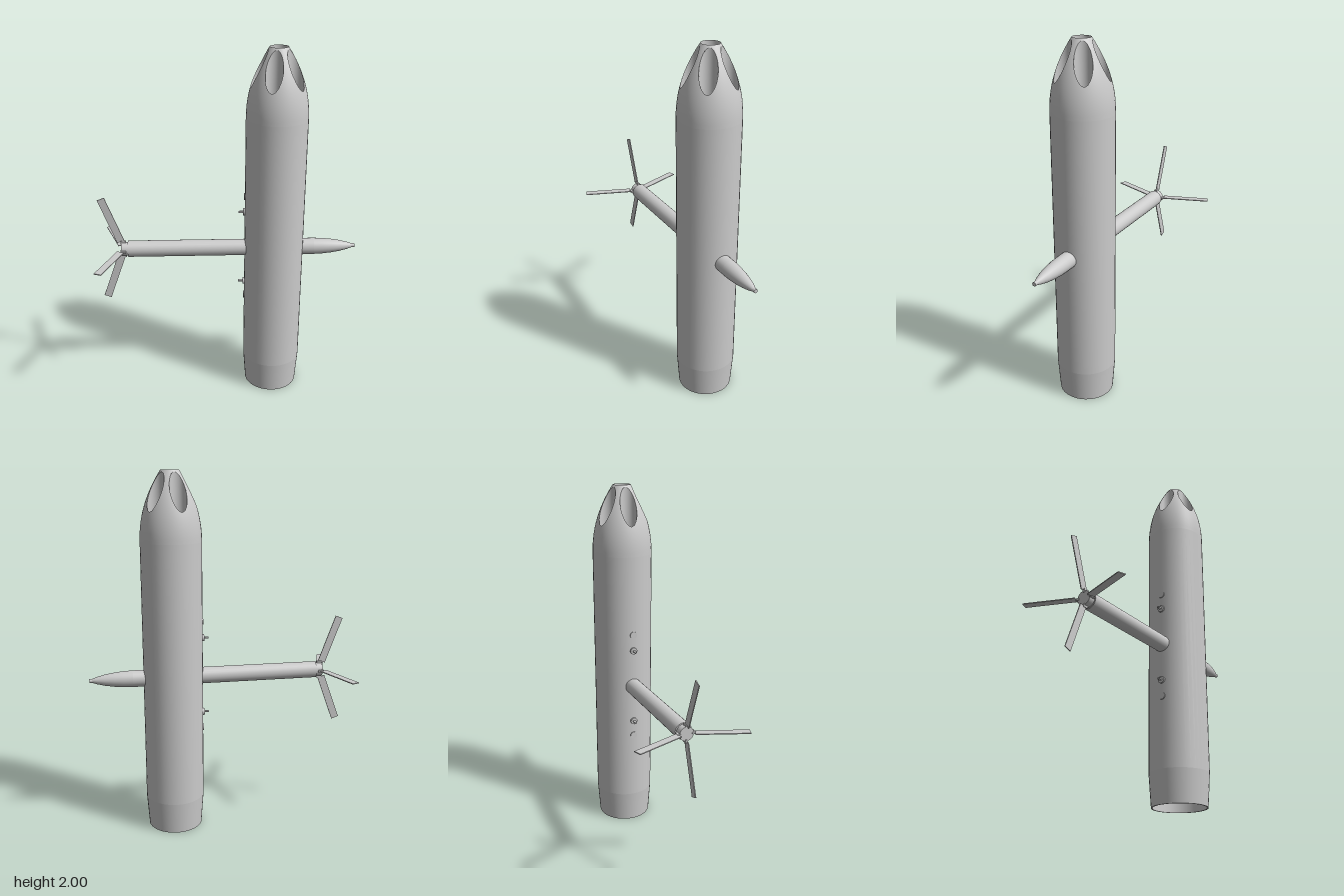
import * as THREE from 'three';

const POD_X = 0.255, POD_R = 0.165, NOSE_Y = 1.63, AXIS_Y = 0.883;
const CORE_R = 0.048, HOLE_R = 0.045, RING_R = 0.1, HOLES = 5, SIDES = 40;
const SECTOR = Math.PI * 2 / HOLES;

const mat = new THREE.MeshStandardMaterial({ color: 0xcccccc, side: THREE.DoubleSide });

function add(parent, name, geometry, x = 0, y = 0, z = 0) {
  const mesh = new THREE.Mesh(geometry, mat);
  mesh.name = name;
  mesh.position.set(x, y, z);
  parent.add(mesh);
  return mesh;
}

const lathe = (pts, n = SIDES) =>
  new THREE.LatheGeometry(pts.map(([r, y]) => new THREE.Vector2(r, y)), n);

// height of the rounded nose at a distance r from the pod axis
const noseHeight = r => NOSE_Y + 0.435 * Math.pow(Math.max(0, 1 - r / POD_R), 0.476);

// one fifth of the nose skin, blended from a hole rim out to the sector border
function noseSector(a0) {
  const polar = (r, a) => [r * Math.cos(a), r * Math.sin(a)];
  const border = [], n = 8, rows = 10;
  const mix = THREE.MathUtils.lerp;
  for (let i = 0; i < 12; i++) border.push(polar(mix(CORE_R, POD_R, i / 12), a0));
  for (let i = 0; i < n; i++) border.push(polar(POD_R, a0 + SECTOR * i / n));
  for (let i = 0; i < 12; i++) border.push(polar(mix(POD_R, CORE_R, i / 12), a0 + SECTOR));
  for (let i = 0; i <= n; i++) border.push(polar(CORE_R, a0 + SECTOR * (1 - i / n)));
  const [cx, cz] = polar(RING_R, a0 + SECTOR / 2);
  const pos = [], nor = [], idx = [], w = rows + 1;
  border.forEach(([bx, bz], i) => {
    const d = Math.hypot(bx - cx, bz - cz);
    for (let j = 0; j <= rows; j++) {
      const t = 1 - (1 - j / rows) ** 2;
      const s = mix(HOLE_R / d, 1, t);
      const x = cx + (bx - cx) * s, z = cz + (bz - cz) * s;
      const r = Math.hypot(x, z), q = Math.min(r, POD_R - 0.0002);
      const slope = (noseHeight(q - 0.0001) - noseHeight(q + 0.0001)) / 0.0002;
      const v = new THREE.Vector3(slope * x / r, 1, slope * z / r).normalize();
      pos.push(x, noseHeight(r), z);
      nor.push(v.x, v.y, v.z);
      if (i && j) {
        const a = (i - 1) * w + j - 1, b = i * w + j - 1;
        idx.push(a, b, a + 1, b, b + 1, a + 1);
      }
    }
  });
  const g = new THREE.BufferGeometry();
  g.setAttribute('position', new THREE.Float32BufferAttribute(pos, 3));
  g.setAttribute('normal', new THREE.Float32BufferAttribute(nor, 3));
  g.setIndex(idx);
  return g;
}

// launch tube whose upper rim follows the nose skin
function tube(radius, cx, cz) {
  const g = new THREE.CylinderGeometry(radius, radius, 1, SIDES, 1, true);
  const p = g.attributes.position;
  for (let i = 0; i < p.count; i++) {
    const r = Math.hypot(p.getX(i) + cx, p.getZ(i) + cz);
    p.setY(i, p.getY(i) > 0 ? noseHeight(r) : 0.13);
  }
  return g;
}

function buildPod() {
  const pod = new THREE.Group();
  pod.name = 'pod';
  pod.position.x = POD_X;

  add(pod, 'podBody', lathe([[POD_R, 0.18], [POD_R, NOSE_Y]]));
  add(pod, 'tailCone', lathe([[0.152, 0], [POD_R, 0.18]]));
  add(pod, 'tailRim', lathe([[0.145, 0], [0.152, 0]]));
  add(pod, 'tailLining', lathe([[0.154, 0.13], [0.145, 0]]));

  // rear plate, pierced by every tube
  const plate = new THREE.Shape().absarc(0, 0, 0.154, 0, Math.PI * 2);
  const pierce = (r, x, z) => plate.holes.push(new THREE.Path().absarc(x, z, r, 0, Math.PI * 2, true));

  pierce(CORE_R, 0, 0);
  add(pod, 'centreTube', tube(CORE_R, 0, 0));
  for (let k = 0; k < HOLES; k++) {
    const a = (k + 0.5) * SECTOR, x = RING_R * Math.cos(a), z = RING_R * Math.sin(a);
    add(pod, 'noseSkin', noseSector(k * SECTOR));
    add(pod, 'launchTube', tube(HOLE_R, x, z), x, 0, z);
    pierce(HOLE_R, x, z);
  }
  add(pod, 'rearPlate', new THREE.ShapeGeometry(plate, 24).rotateX(Math.PI / 2), 0, 0.13);

  // suspension lugs and sway pads, mirrored about the rocket axis
  for (const s of [-1, 1]) {
    const y = AXIS_Y + s * 0.216;
    add(pod, 'lugBase', new THREE.CylinderGeometry(0.02, 0.02, 0.012, 16).rotateZ(Math.PI / 2), -0.168, y);
    add(pod, 'lugStem', new THREE.BoxGeometry(0.034, 0.008, 0.014), -0.182, y);
    add(pod, 'swayPad', new THREE.CylinderGeometry(0.02, 0.02, 0.008, 16).rotateZ(Math.PI / 2),
      -0.165, AXIS_Y + s * 0.308);
  }
  return pod;
}

function buildRocket() {
  const rocket = new THREE.Group();
  rocket.name = 'rocket';
  rocket.position.y = AXIS_Y;
  const turned = (name, pts) => add(rocket, name, lathe(pts, 24).rotateZ(-Math.PI / 2));

  turned('motorTube', [[0.046, -0.565], [0.046, 0.48]]);
  turned('motorEnd', [[0.039, -0.565], [0.046, -0.565]]);
  turned('finCollar', [[0.039, -0.602], [0.039, -0.565]]);
  turned('nozzlePlate', [[0, -0.602], [0.039, -0.602]]);
  turned('warhead', [[0.046, 0.48], [0.044, 0.53], [0.039, 0.58], [0.031, 0.63], [0.02, 0.675], [0.011, 0.7]]);
  turned('fuzeTip', [[0.011, 0.7], [0.011, 0.716]]);
  turned('fuzeCap', [[0.011, 0.716], [0, 0.716]]);

  // four swept strip fins
  for (let k = 0; k < 4; k++) {
    const holder = new THREE.Group();
    holder.name = 'finHolder';
    holder.rotation.x = k * Math.PI / 2;
    const fin = add(holder, 'fin', new THREE.BoxGeometry(0.042, 0.275, 0.005), -0.652, 0.174);
    fin.rotation.z = 0.353;
    add(holder, 'finHinge', new THREE.BoxGeometry(0.03, 0.02, 0.012), -0.59, 0.04);
    rocket.add(holder);
  }
  return rocket;
}

export function createModel() {
  const model = new THREE.Group();
  model.name = 'rocketPod';
  model.add(buildPod(), buildRocket());
  return model;
}
